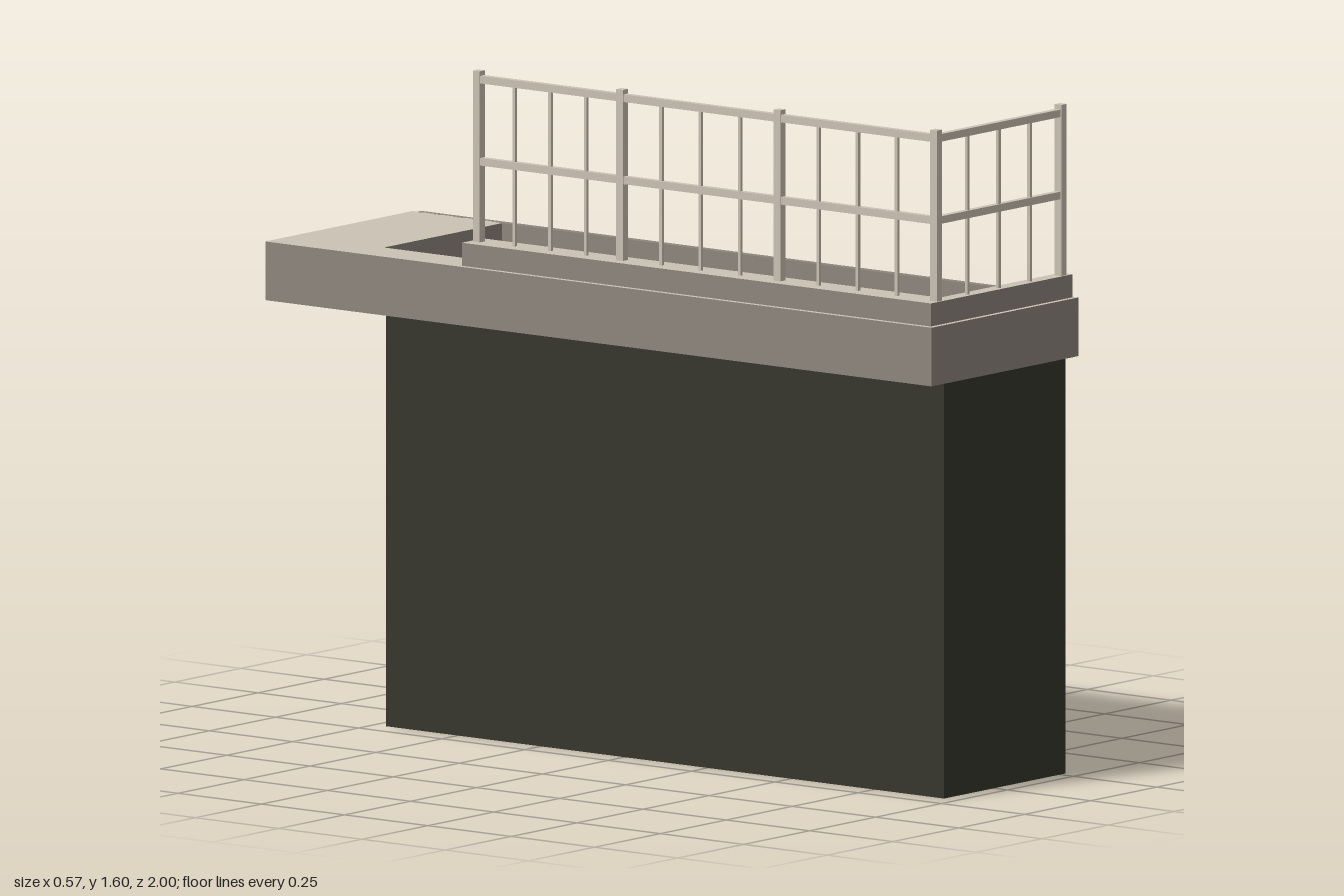
import * as THREE from 'three';

export function createModel() {
  const model = new THREE.Group();
  model.name = 'stairwell';
  const mat = (name, color) => {
    const m = new THREE.MeshStandardMaterial({ color });
    m.name = name;
    return m;
  };
  const dark = mat('dark wall', 0x37362d);
  const stone = mat('stone', 0x8f867e);
  const cream = mat('cream', 0xcbc2b3);
  // face order: +x, -x, top, bottom, +z, -z
  const capped = [stone, stone, cream, dark, stone, stone];
  const floorMats = [dark, dark, stone, dark, stone, stone];

  // box given by its lower and upper limits on each axis
  function block(name, [x0, x1], [y0, y1], [z0, z1], material, parent = model) {
    const mesh = new THREE.Mesh(new THREE.BoxGeometry(x1 - x0, y1 - y0, z1 - z0), material);
    mesh.position.set((x0 + x1) / 2, (y0 + y1) / 2, (z0 + z1) / 2);
    mesh.name = name;
    parent.add(mesh);
  }

  // shaft walls, open at the back and top
  block('leftShaftWall', [0.262, 0.27], [0, 1], [-0.715, 0.96], dark);
  block('rightShaftWall', [-0.19, -0.18], [0, 1], [-0.715, 0.96], dark);
  block('frontShaftWall', [-0.18, 0.262], [0, 1], [0.95, 0.96], dark);
  block('floorSlab', [-0.18, 0.262], [0, 0.17], [-0.715, 0.95], floorMats);

  // stairs: each step is a slice with a sloping underside
  const stairs = new THREE.Group();
  stairs.name = 'stairs';
  model.add(stairs);
  const run = 0.122, rise = 0.086, zTop = -0.72, yTop = 1.03;
  for (let i = 0; i < 10; i++) {
    const z = zTop + i * run, y = yTop - i * rise;
    const low = Math.max(y - rise, 0.1), lowFront = Math.max(y - 2 * rise, 0.1);
    const profile = new THREE.Shape([
      new THREE.Vector2(-z, y),
      new THREE.Vector2(-z, low),
      new THREE.Vector2(-z - run, lowFront),
      new THREE.Vector2(-z - run, y),
    ]);
    const geo = new THREE.ExtrudeGeometry(profile, { depth: 0.44, bevelEnabled: false });
    geo.rotateY(Math.PI / 2);
    geo.translate(-0.179, 0, 0);
    const step = new THREE.Mesh(geo, i < 4 ? stone : dark);
    step.name = 'step' + (i + 1);
    stairs.add(step);
    // dark soffit plate under the stone steps
    if (i < 4) {
      const slope = Math.atan2(rise, run);
      const plate = new THREE.Mesh(new THREE.BoxGeometry(0.44, 0.004, Math.hypot(run, rise)), dark);
      plate.position.set(0.041, y - 1.5 * rise - 0.002, z + run / 2);
      plate.rotation.x = slope;
      plate.name = 'soffit';
      stairs.add(plate);
    }
  }

  // coping around the opening
  block('backLandingSlab', [-0.288, 0.27], [1, 1.14], [-1, -0.727], capped);
  block('rightCoping', [-0.288, -0.183], [1, 1.14], [-0.727, 1], capped);
  block('frontCoping', [-0.183, 0.27], [1, 1.14], [0.952, 1], capped);
  block('leftCoping', [0.265, 0.285], [1, 1.14], [-0.985, 0.945], [stone, stone, stone, dark, stone, stone]);

  // curb under the railing
  block('rightCurb', [-0.275, -0.195], [1.14, 1.195], [-0.42, 0.988], capped);
  block('frontCurb', [-0.195, 0.262], [1.14, 1.195], [0.952, 0.988], capped);

  // railing
  const railing = new THREE.Group();
  railing.name = 'railing';
  model.add(railing);
  const upright = (name, x, z, w, top) =>
    block(name, [x - w / 2, x + w / 2], [1.195, top], [z - w / 2, z + w / 2], cream, railing);
  const postX = -0.236, frontZ = 0.973;
  const postZ = [frontZ, 0.503, 0.03, -0.4];
  postZ.forEach((z) => upright('post', postX, z, 0.02, 1.603));
  upright('post', 0.236, frontZ, 0.02, 1.603);
  for (let i = 0; i < 3; i++) {
    const gap = (postZ[i + 1] - postZ[i]) / 4;
    for (let k = 1; k < 4; k++) upright('baluster', postX, postZ[i] + gap * k, 0.008, 1.58);
    upright('baluster', -0.118 + i * 0.118, frontZ, 0.008, 1.58);
  }
  for (const y of [1.387, 1.583]) {
    block('sideRail', [postX - 0.008, postX + 0.008], [y - 0.009, y + 0.009], [-0.4, frontZ], cream, railing);
    block('frontRail', [postX, 0.236], [y - 0.009, y + 0.009], [frontZ - 0.008, frontZ + 0.008], cream, railing);
  }
  return model;
}
